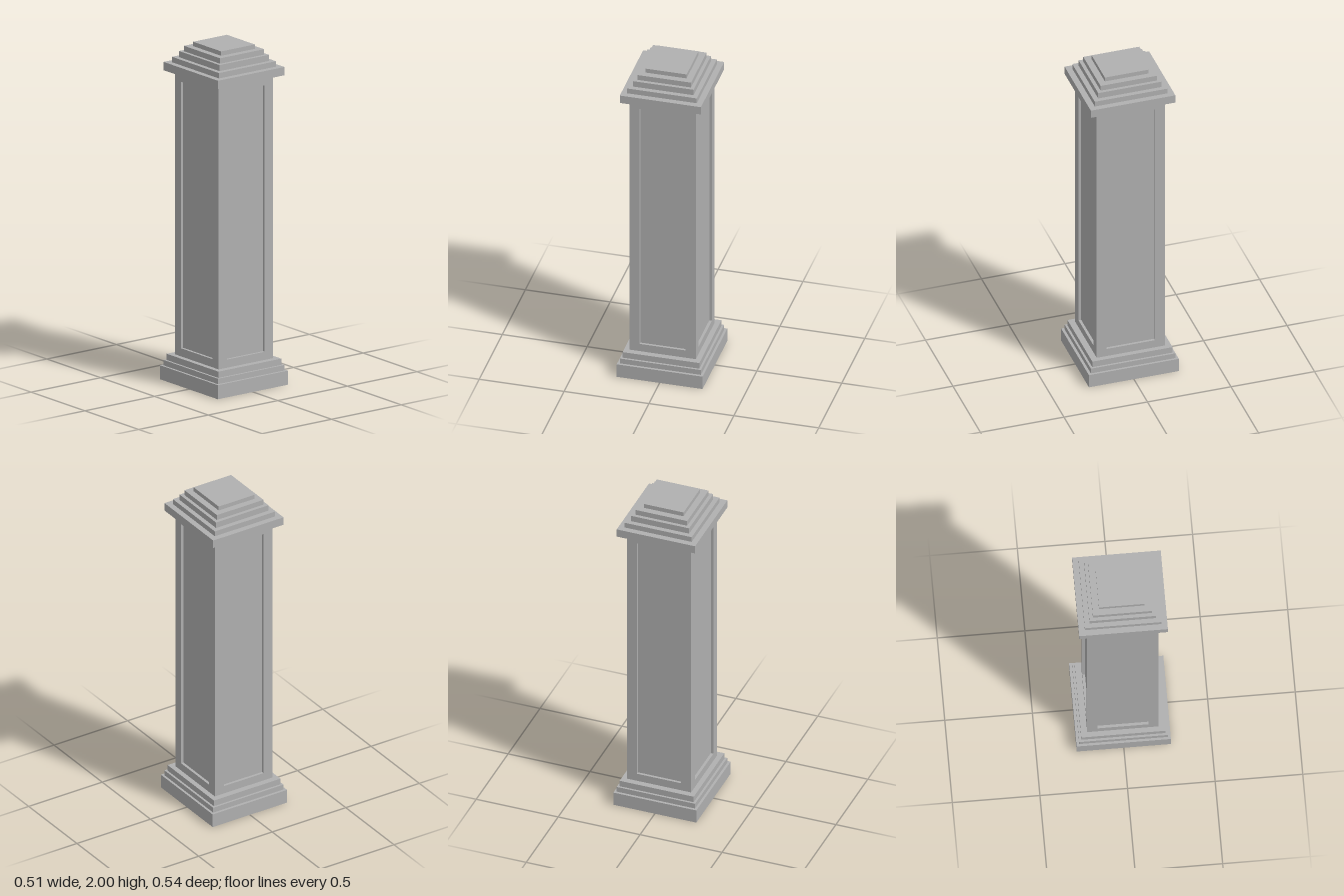
import * as THREE from 'three';

export function createModel() {
  const group = new THREE.Group();
  const stone = new THREE.MeshStandardMaterial({ color: 0xb0b0b0 });
  stone.name = 'grey stone';

  const add = (name, geometry, parent = group) => {
    const mesh = new THREE.Mesh(geometry, stone);
    mesh.name = name;
    parent.add(mesh);
    return mesh;
  };

  // Stacked slab given by half width, half depth, bottom and top height
  const slab = (name, hx, hz, y0, y1) => {
    add(name, new THREE.BoxGeometry(hx * 2, y1 - y0, hz * 2)).position.y = (y0 + y1) / 2;
  };

  // Stepped base
  slab('plinth', 0.253, 0.269, 0, 0.083);
  slab('baseStepLower', 0.239, 0.253, 0.083, 0.115);
  slab('baseStepUpper', 0.226, 0.24, 0.115, 0.152);

  // Shaft core, whose faces form the sunken panels
  const hx = 0.196, hz = 0.204, y0 = 0.152, y1 = 1.825, recess = 0.016;
  slab('shaftCore', hx - recess, hz - recess, y0, y1);

  // Raised frame around a panel, standing on one side of the core
  const frame = (name, halfWidth, halfPanel, distance, angle) => {
    const shape = new THREE.Shape([
      [-halfWidth, y0], [halfWidth, y0], [halfWidth, y1], [-halfWidth, y1],
    ].map(([x, y]) => new THREE.Vector2(x, y)));
    shape.holes.push(new THREE.Path([
      [-halfPanel, 0.2], [-halfPanel, 1.773], [halfPanel, 1.773], [halfPanel, 0.2],
    ].map(([x, y]) => new THREE.Vector2(x, y))));
    const geometry = new THREE.ExtrudeGeometry(shape, { depth: recess, bevelEnabled: false });
    geometry.translate(0, 0, distance - recess).rotateY(angle);
    add(name, geometry);
  };
  frame('frontFrame', hx, 0.135, hz, 0);
  frame('backFrame', hx, 0.135, hz, Math.PI);
  frame('leftFrame', hz - recess, 0.146, hx, Math.PI / 2);
  frame('rightFrame', hz - recess, 0.146, hx, -Math.PI / 2);

  // Stepped cap
  slab('capSlab', 0.239, 0.253, 1.825, 1.874);
  slab('capStepLower', 0.205, 0.218, 1.874, 1.906);
  slab('capStepMiddle', 0.178, 0.189, 1.906, 1.942);
  slab('capStepUpper', 0.158, 0.168, 1.942, 1.974);
  slab('capTop', 0.121, 0.13, 1.974, 2);

  return group;
}
